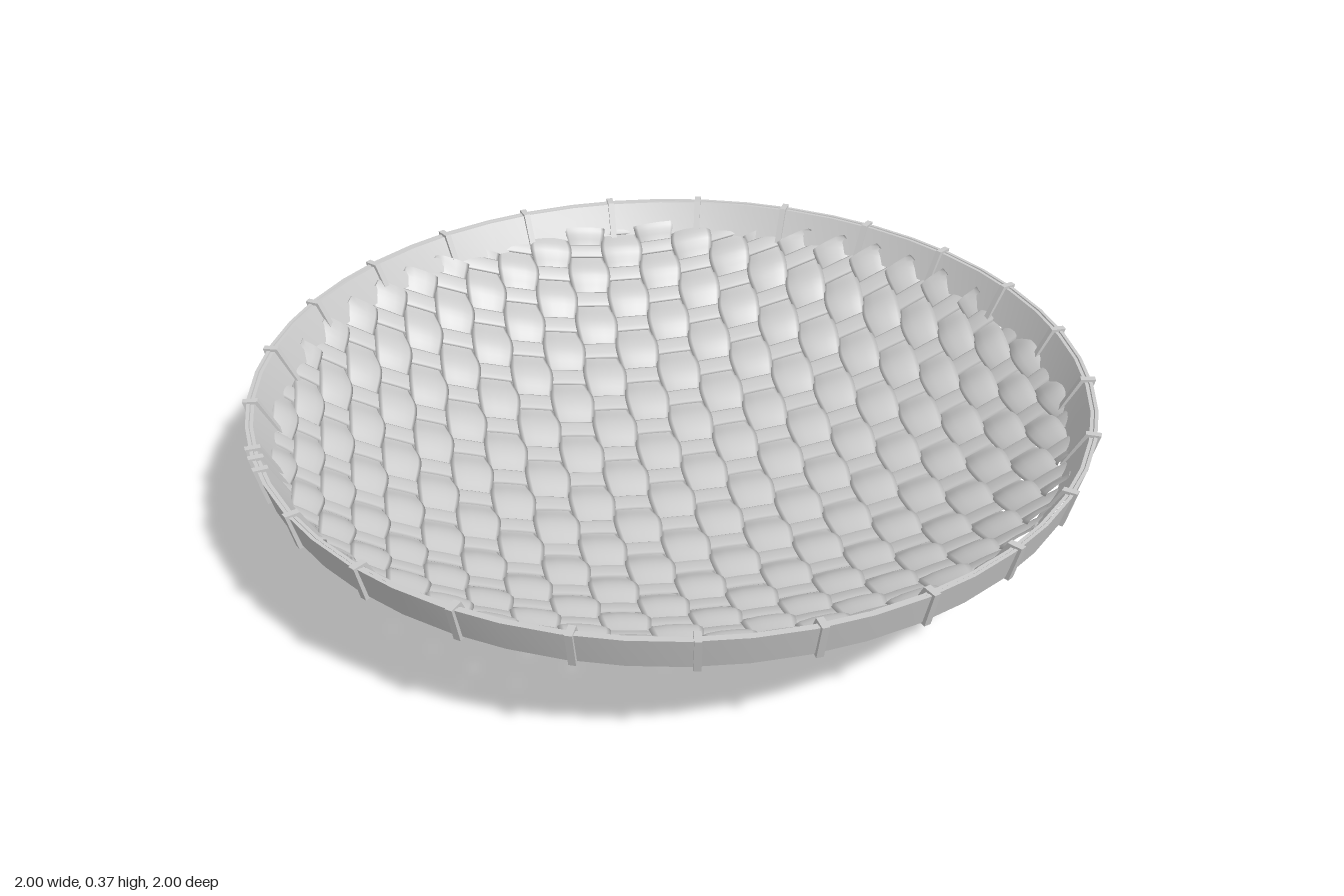
import * as THREE from 'three';
import { toCreasedNormals } from 'three/addons/utils/BufferGeometryUtils.js';

const RIM_RADIUS = 0.95;
const LIFT = 0.019;

// Wide lengthwise strips wave around narrow, nearly straight crosswise strips
const LENGTHWISE = { step: 0.1, crossStep: 0.105, width: 0.052, swell: 0.12, thick: 0.008, wave: 0.011 };
const CROSSWISE = { step: 0.105, crossStep: 0.1, width: 0.03, swell: 0, thick: 0.005, wave: -0.002 };

// Shallow bowl surface and its slope
const height = (r) => LIFT + 0.218 * r * r + 0.113 * r ** 4;
const slope = (r) => 0.436 * r + 0.452 * r ** 3;

// Strips crowd together toward the rim
const spread = (t) => t - 0.137 * t ** 3;
const spreadRate = (t) => 1 - 0.411 * t * t;
function unspread(v) {
  let lo = 0, hi = 1.3;
  for (let i = 0; i < 30; i++) {
    const mid = (lo + hi) / 2;
    if (spread(mid) < v) lo = mid; else hi = mid;
  }
  return lo;
}

// One rounded strip that waves over and under the strips it crosses
function stripGeometry(index, kind) {
  const lengthwise = kind === LENGTHWISE;
  const width = spreadRate(index * kind.step) * kind.width;
  const fixed = spread(index * kind.step);
  const end = unspread(Math.sqrt(RIM_RADIUS ** 2 - fixed ** 2));
  const rows = Math.max(8, Math.ceil((2 * end) / kind.crossStep * 6));
  const sides = 10;
  const sign = index % 2 === 0 ? 1 : -1;
  const positions = [], indices = [];
  const normal = new THREE.Vector3(), side = new THREE.Vector3(), p = new THREE.Vector3();

  for (let i = 0; i <= rows; i++) {
    const t = -end + (2 * end * i) / rows;
    const along = spread(t);
    const x = lengthwise ? fixed : along;
    const z = lengthwise ? along : fixed;
    const r = Math.hypot(x, z) || 1e-6;
    const sx = slope(r) * x / r, sz = slope(r) * z / r;
    normal.set(-sx, 1, -sz).normalize();
    if (lengthwise) side.set(1, sx, 0); else side.set(0, -sz, -1);
    const wave = sign * Math.cos(Math.PI * t / kind.crossStep);
    const half = width * (1 + kind.swell * wave);
    for (let k = 0; k < sides; k++) {
      const a = (k / sides) * Math.PI * 2;
      p.set(x, height(r), z)
        .addScaledVector(side, half * Math.cos(a))
        .addScaledVector(normal, kind.wave * wave + kind.thick * Math.sin(a));
      // Trim the strip where the hoops hold it
      const trim = Math.min(1, RIM_RADIUS / Math.hypot(p.x, p.z));
      positions.push(p.x * trim, p.y, p.z * trim);
      if (i < rows) {
        const n = (k + 1) % sides, b = i * sides;
        indices.push(b + k, b + n, b + sides + k, b + n, b + sides + n, b + sides + k);
      }
    }
  }
  const g = new THREE.BufferGeometry();
  g.setAttribute('position', new THREE.Float32BufferAttribute(positions, 3));
  g.setIndex(indices);
  g.computeVertexNormals();
  return g;
}

// Hoop turned from a closed four-cornered section
function hoopGeometry(section) {
  const pts = [...section, section[0]].map(([r, y]) => new THREE.Vector2(r, y));
  return toCreasedNormals(new THREE.LatheGeometry(pts, 50), 0.5);
}

// Flat loop that wraps the rim section
function bindingGeometry() {
  const outline = [[0.977, 0.284], [1.0, 0.375], [0.965, 0.375], [0.918, 0.286]];
  const opening = [[0.966, 0.291], [0.988, 0.368], [0.971, 0.368], [0.928, 0.293]];
  const toVec = ([x, y]) => new THREE.Vector2(x, y);
  const shape = new THREE.Shape(outline.map(toVec));
  shape.holes.push(new THREE.Path(opening.map(toVec)));
  const g = new THREE.ExtrudeGeometry(shape, { depth: 0.016, bevelEnabled: false });
  return g.translate(0, 0, -0.008);
}

export function createModel() {
  const model = new THREE.Group();
  model.name = 'wovenTray';
  const material = new THREE.MeshStandardMaterial({ color: 0xcccccc });
  const add = (parent, name, geometry) => {
    const mesh = new THREE.Mesh(geometry, material);
    mesh.name = name;
    parent.add(mesh);
    return mesh;
  };

  // Woven bowl
  const weave = new THREE.Group();
  weave.name = 'weave';
  model.add(weave);
  for (let i = -11; i <= 11; i++) {
    add(weave, 'lengthwiseStrip', stripGeometry(i, LENGTHWISE));
    add(weave, 'crosswiseStrip', stripGeometry(i, CROSSWISE));
  }

  // Rim: two thin hoops clamping the edge of the weave
  add(model, 'outerHoop', hoopGeometry([[0.97, 0.29], [0.992, 0.37], [0.984, 0.37], [0.955, 0.29]]));
  add(model, 'innerHoop', hoopGeometry([[0.945, 0.293], [0.982, 0.368], [0.974, 0.368], [0.93, 0.293]]));

  // Bindings around the rim, with an extra pair where the hoop ends overlap
  const binding = bindingGeometry();
  const angles = Array.from({ length: 25 }, (_, i) => -1 + i * 14.4);
  angles.push(255.3, 260.6);
  for (const a of angles) {
    add(model, 'rimBinding', binding).rotation.y = THREE.MathUtils.degToRad(90 - a);
  }
  return model;
}
